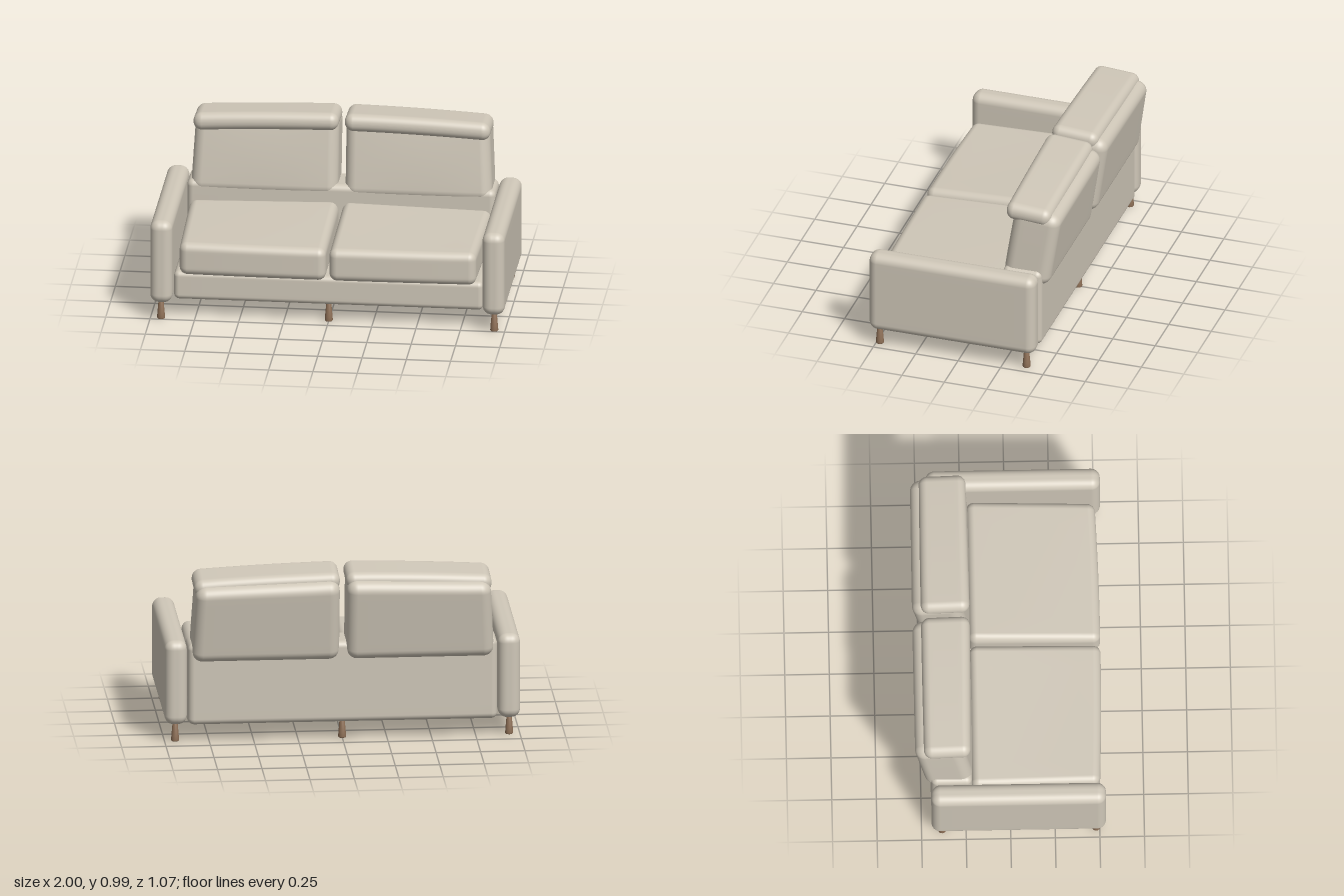
import * as THREE from 'three';
import { mergeVertices } from 'three/addons/utils/BufferGeometryUtils.js';

const CORNER = 5, FLAT = 8, N = CORNER * 2 + FLAT;

// Grid line i (0..N) along one side: dense in the rounded corners, even in between
function gridLine(i, half, r) {
  if (i > N / 2) return -gridLine(N - i, half, r);
  const inner = half - r;
  if (i <= CORNER) return -inner - r * Math.tan((Math.PI / 4) * (1 - i / CORNER));
  return -inner + (2 * inner * (i - CORNER)) / FLAT;
}

// Smooth rounded box; the optional rule reshapes the padding
function softBox(w, h, d, r, rule) {
  let g = new THREE.BoxGeometry(1, 1, 1, N, N, N);
  g.deleteAttribute('normal');
  g.deleteAttribute('uv');
  g = mergeVertices(g);
  g.clearGroups();
  const half = [w / 2, h / 2, d / 2];
  const pos = g.attributes.position;
  for (let i = 0; i < pos.count; i++) {
    const raw = [pos.getX(i), pos.getY(i), pos.getZ(i)];
    const p = new THREE.Vector3(...raw.map((v, k) => gridLine(Math.round((v + 0.5) * N), half[k], r)));
    const lim = new THREE.Vector3(...half).subScalar(r);
    const core = p.clone().clamp(lim.clone().negate(), lim);
    p.sub(core).setLength(r).add(core);
    if (rule) rule(p);
    pos.setXYZ(i, p.x, p.y, p.z);
  }
  g.computeVertexNormals();
  return g;
}

export function createModel() {
  const sofa = new THREE.Group();
  sofa.name = 'sofa';
  const fabric = new THREE.MeshStandardMaterial({ color: 0xcfc7b8 });
  fabric.name = 'beige fabric';
  const wood = new THREE.MeshStandardMaterial({ color: 0x8e7057 });
  wood.name = 'brown wood';

  const add = (name, geometry, material, x, y, z, tilt = 0) => {
    const mesh = new THREE.Mesh(geometry, material);
    mesh.name = name;
    mesh.position.set(x, y, z);
    mesh.rotation.x = tilt;
    sofa.add(mesh);
  };

  // Frame
  add('seatBase', softBox(1.745, 0.167, 0.87, 0.03), fabric, 0, 0.185, 0.015);
  add('backFrame', softBox(1.74, 0.47, 0.23, 0.035), fabric, 0, 0.336, -0.33);

  for (const side of [1, -1]) {
    const label = side > 0 ? 'left' : 'right';
    // Rules work on u, which runs from the middle of the sofa outward
    const mirrored = (rule) => (p) => {
      p.x *= side;
      rule(p);
      p.x *= side;
    };

    // Arm
    add(label + 'Arm', softBox(0.125, 0.488, 0.98, 0.05), fabric, side * 0.9375, 0.345, 0.045);

    // Seat cushion: rises toward the back, narrows toward the front
    const seat = softBox(0.84, 0.19, 0.735, 0.045, mirrored((p) => {
      const t = p.x / 0.42, f = p.z / 0.3675;
      if (p.y > 0) p.y += (p.y / 0.095) * (1 - f) * (0.011 - 0.005 * t);
      if (p.x > 0) p.x -= 0.009 * t * (1 + f) - 0.004;
      if (p.z > 0) p.z -= 0.009 * f * (t + t * t * 0.5);
    }));
    add(label + 'SeatCushion', seat, fabric, side * 0.43, 0.36, 0.149);

    // Back cushion: leans back, narrows and drops toward its outer top corner
    const back = softBox(0.82, 0.46, 0.272, 0.06, mirrored((p) => {
      const t = p.x / 0.41, v = p.y / 0.23;
      if (p.z > 0) p.z += 0.008 * (1 - t * t) * (1 - v * v);
      if (p.x > 0) p.x -= 0.012 * t * v;
      if (p.y > 0) p.y -= 0.012 * t * v;
    }));
    add(label + 'BackCushion', back, fabric, side * 0.43, 0.71, -0.374, -0.15);

    // Headrest roll: highest near the middle of the sofa
    const head = softBox(0.82, 0.102, 0.275, 0.048, mirrored((p) => {
      const t = p.x / 0.41;
      p.y -= 0.015 * t + 0.005 * t * t;
      if (p.z > 0) p.z -= 0.006 * (1 + t) * (p.z / 0.1375);
    }));
    add(label + 'Headrest', head, fabric, side * 0.427, 0.924, -0.349, -0.07);
  }

  // Legs, flared toward the floor
  const leg = new THREE.LatheGeometry([
    [0, 0], [0.019, 0], [0.023, 0.005], [0.021, 0.03], [0.014, 0.11], [0, 0.11],
  ].map(([r, y]) => new THREE.Vector2(r, y)), 24);
  for (const x of [-0.94, 0, 0.94]) {
    add('frontLeg', leg, wood, x, 0, x ? 0.48 : 0.42);
    add('backLeg', leg, wood, x, 0, -0.385);
  }
  return sofa;
}
